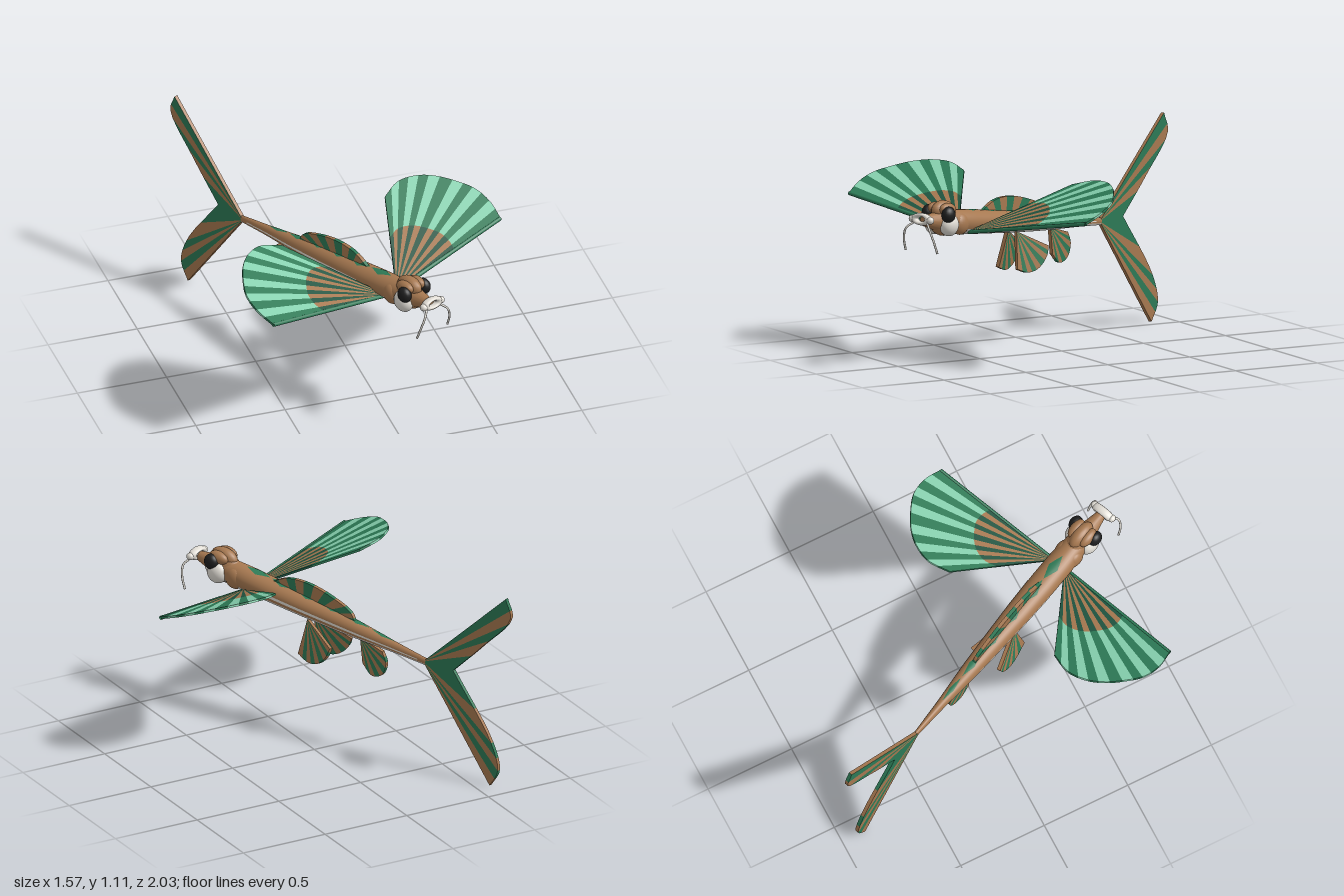
import * as THREE from 'three';

const mat = (name, color) => {
  const m = new THREE.MeshStandardMaterial({ color, side: THREE.DoubleSide });
  m.name = name;
  return m;
};
const V = (x, y, z) => new THREE.Vector3(x, y, z);

export function createModel() {
  const brown = mat('brown', 0xa67850), green = mat('green', 0x2d7a56), dark = mat('darkGreen', 0x1f5440);
  const pale = mat('paleGreen', 0x86d0ae), white = mat('white', 0xe2ded6), black = mat('black', 0x1e1e1e);

  // Fish is built along +z from the tail root, then posed as a whole
  const fish = new THREE.Group();
  fish.name = 'flyingFish';
  const add = (name, geo, m) => {
    const mesh = new THREE.Mesh(geo, m);
    mesh.name = name;
    fish.add(mesh);
    return mesh;
  };

  // Smooth patch: a grid whose vertices are placed by a rule
  const patch = (name, m, fn, nu, nv) => {
    const g = new THREE.PlaneGeometry(1, 1, nu, nv);
    const p = g.attributes.position;
    for (let i = 0; i < p.count; i++) {
      const q = fn(p.getX(i) + 0.5, p.getY(i) + 0.5);
      p.setXYZ(i, q.x, q.y, q.z);
    }
    g.computeVertexNormals();
    return add(name, g, m);
  };

  // Striped fin: thin slab between base(t) and rim(t); stripes alternate mats[0], mats[1],
  // and the leading edge wall takes mats[edge]
  const fin = (name, base, rim, n, mats, thick, { r0 = 0, r1 = 1, edge = 0 } = {}) => {
    const pos = [], g = new THREE.BufferGeometry(), sub = 3;
    const along = rim(0.6).sub(rim(0.4)), out = rim(0.5).sub(base(0.5));
    const normal = along.cross(out).normalize();
    const at = (t, r, s) => base(t).lerp(rim(t), r).addScaledVector(normal, s * thick / 2);
    const quad = (A, B, C, D) => {
      for (const q of [A, B, C, A, C, D]) pos.push(q.x, q.y, q.z);
    };
    for (let i = 0; i < n; i++) {
      const start = pos.length / 3;
      for (let k = 0; k < sub; k++) {
        const t0 = (i + k / sub) / n, t1 = (i + (k + 1) / sub) / n;
        quad(at(t0, r0, 1), at(t1, r0, 1), at(t1, r1, 1), at(t0, r1, 1));
        quad(at(t0, r0, -1), at(t0, r1, -1), at(t1, r1, -1), at(t1, r0, -1));
        quad(at(t0, r1, 1), at(t1, r1, 1), at(t1, r1, -1), at(t0, r1, -1));
      }
      g.addGroup(start, pos.length / 3 - start, i % 2);
    }
    for (const [t, m] of [[0, edge], [1, (n - 1) % 2]]) {
      g.addGroup(pos.length / 3, 6, m);
      quad(at(t, r0, 1), at(t, r1, 1), at(t, r1, -1), at(t, r0, -1));
    }
    g.setAttribute('position', new THREE.Float32BufferAttribute(pos, 3));
    g.computeVertexNormals();
    return add(name, g, mats);
  };
  const curve = pts => {
    const c = new THREE.CatmullRomCurve3(pts.map(p => V(...p)));
    return t => c.getPoint(t);
  };
  const point = (x, y, z) => () => V(x, y, z);

  // Body cross-sections: z, half width, half height
  const stations = [[0, 0.012, 0.02], [0.2, 0.024, 0.03], [0.45, 0.046, 0.046], [0.6, 0.055, 0.053],
    [0.85, 0.068, 0.06], [1.05, 0.074, 0.064], [1.2, 0.074, 0.067], [1.34, 0.064, 0.066]];
  const skin = (z, a, k = 1) => {
    let i = 0;
    while (i < stations.length - 2 && z > stations[i + 1][0]) i++;
    const [p, q] = [stations[i], stations[i + 1]], f = (z - p[0]) / (q[0] - p[0]);
    const rx = p[1] + (q[1] - p[1]) * f, ry = p[2] + (q[2] - p[2]) * f;
    return V(Math.cos(a) * rx * k, Math.sin(a) * ry * k, z);
  };
  const low = -0.5, high = Math.PI + 0.5;
  patch('back', brown, (u, v) => skin(v * 1.34, low + u * (high - low)), 24, 28);
  patch('belly', white, (u, v) => skin(v * 1.34, high + u * (2 * Math.PI + low - high)), 12, 28);
  for (const s of [1, -1]) {
    patch('lateralLine', white, (u, v) => {
      const q = skin(0.05 + v * 0.97, -0.02 + (u - 0.5) * 0.24, 1.03);
      q.x *= s;
      return q;
    }, 2, 18);
  }
  // Narrow diamonds along the spine
  for (let i = 0; i < 6; i++) {
    patch('backDiamond', green, (u, v) => {
      const w = 1 - Math.abs(2 * v - 1);
      return skin(0.22 + i * 0.17 + v * 0.16, Math.PI / 2 + (u - 0.5) * w * 0.8, 1.03);
    }, 4, 8);
  }

  // Wings: a mirrored fan, darker near the root
  const outline = [[0.765, -0.02], [0.785, -0.12], [0.77, -0.22], [0.72, -0.30],
    [0.64, -0.39], [0.555, -0.445], [0.45, -0.47], [0.33, -0.44]];
  for (const s of [1, -1]) {
    const rx = s * 0.035 + 0.012;
    const root = point(rx, -0.05, 1.2);
    const rim = curve(outline.map(([x, z]) => [rx + s * x, -0.05 + 0.145 * x - 0.535 * z, 1.2 + z]));
    const side = s > 0 ? 'left' : 'right';
    fin(side + 'WingInner', root, rim, 13, [dark, brown], 0.012, { r1: 0.56 });
    fin(side + 'WingOuter', root, rim, 13, [green, pale], 0.012, { r0: 0.56 });
    // Stiff leading ray
    add(side + 'WingEdge', new THREE.TubeGeometry(new THREE.LineCurve3(root(), rim(0)), 1, 0.011, 8), green);

    // Pelvic fins
    fin(side + 'PelvicFin', point(s * 0.03, -0.05, 0.77), curve([[s * 0.065, -0.25, 0.78], [s * 0.08, -0.265, 0.70],
      [s * 0.092, -0.24, 0.63], [s * 0.097, -0.175, 0.575], [s * 0.092, -0.12, 0.56]]), 9, [brown, green], 0.02);
  }

  // Dorsal and anal fins
  fin('dorsalFin', t => V(0, 0.04, 1.0 - 0.46 * t),
    curve([[0, 0.05, 1.06], [0, 0.115, 0.95], [0, 0.138, 0.82], [0, 0.125, 0.66], [0, 0.085, 0.52], [0, 0.035, 0.48]]),
    11, [green, brown], 0.02);
  fin('analFin', point(0, -0.03, 0.44), curve([[0, -0.174, 0.404], [0, -0.22, 0.335], [0, -0.19, 0.271],
    [0, -0.114, 0.253], [0, -0.055, 0.285]]), 9, [brown, green], 0.02);

  // Forked tail, both lobes meeting at the notch
  fin('upperTailLobe', point(0, 0, 0.015),
    curve([[0, 0.581, -0.47], [0, 0.481, -0.516], [0, 0.25, -0.36], [0, 0.028, -0.185]]), 5, [green, brown], 0.02, { edge: 1 });
  fin('lowerTailLobe', point(0, 0, 0.015),
    curve([[0, -0.538, -0.508], [0, -0.432, -0.549], [0, -0.289, -0.486], [0, 0.028, -0.185]]), 6, [brown, green], 0.02);

  // Head
  const ball = (name, m, x, y, z, rx, ry, rz) => {
    const b = add(name, new THREE.SphereGeometry(1, 20, 14), m);
    b.position.set(x, y, z);
    b.scale.set(rx, ry, rz);
  };
  ball('head', brown, 0, 0.005, 1.36, 0.06, 0.08, 0.11);
  ball('crown', brown, 0, 0.06, 1.38, 0.045, 0.056, 0.085);
  const snout = add('snout', new THREE.CylinderGeometry(0.027, 0.056, 0.13, 16), brown);
  snout.rotation.x = Math.PI / 2;
  snout.position.set(0, 0.004, 1.475);
  for (const s of [1, -1]) {
    ball('brow', brown, s * 0.04, 0.07, 1.39, 0.032, 0.035, 0.06);
    ball('gillCover', brown, s * 0.038, -0.008, 1.27, 0.04, 0.058, 0.06);
    ball('cheek', white, s * 0.05, -0.012, 1.38, 0.046, 0.06, 0.062);
    ball('eye', black, s * 0.067, 0.044, 1.415, 0.034, 0.044, 0.043);
    ball('lipCorner', white, s * 0.06, 0.012, 1.56, 0.02, 0.02, 0.022);
    // Barbels
    const path = new THREE.CatmullRomCurve3([V(s * 0.045, -0.005, 1.565), V(s * 0.08, -0.04, 1.585),
      V(s * 0.1, -0.095, 1.57), V(s * 0.107, -0.16, 1.537)]);
    add('barbel', new THREE.TubeGeometry(path, 14, 0.006, 8), white);
  }
  const lips = add('lips', new THREE.TorusGeometry(0.046, 0.021, 12, 28), white);
  lips.scale.set(1, 0.5, 1.1);
  lips.position.set(0, 0.014, 1.557);

  // Gliding pose
  fish.rotation.order = 'YXZ';
  fish.rotation.set(-0.131, 0.396, 0);
  fish.position.set(-0.42, 0.6, -0.47);
  const model = new THREE.Group();
  model.name = 'model';
  model.add(fish);
  return model;
}
